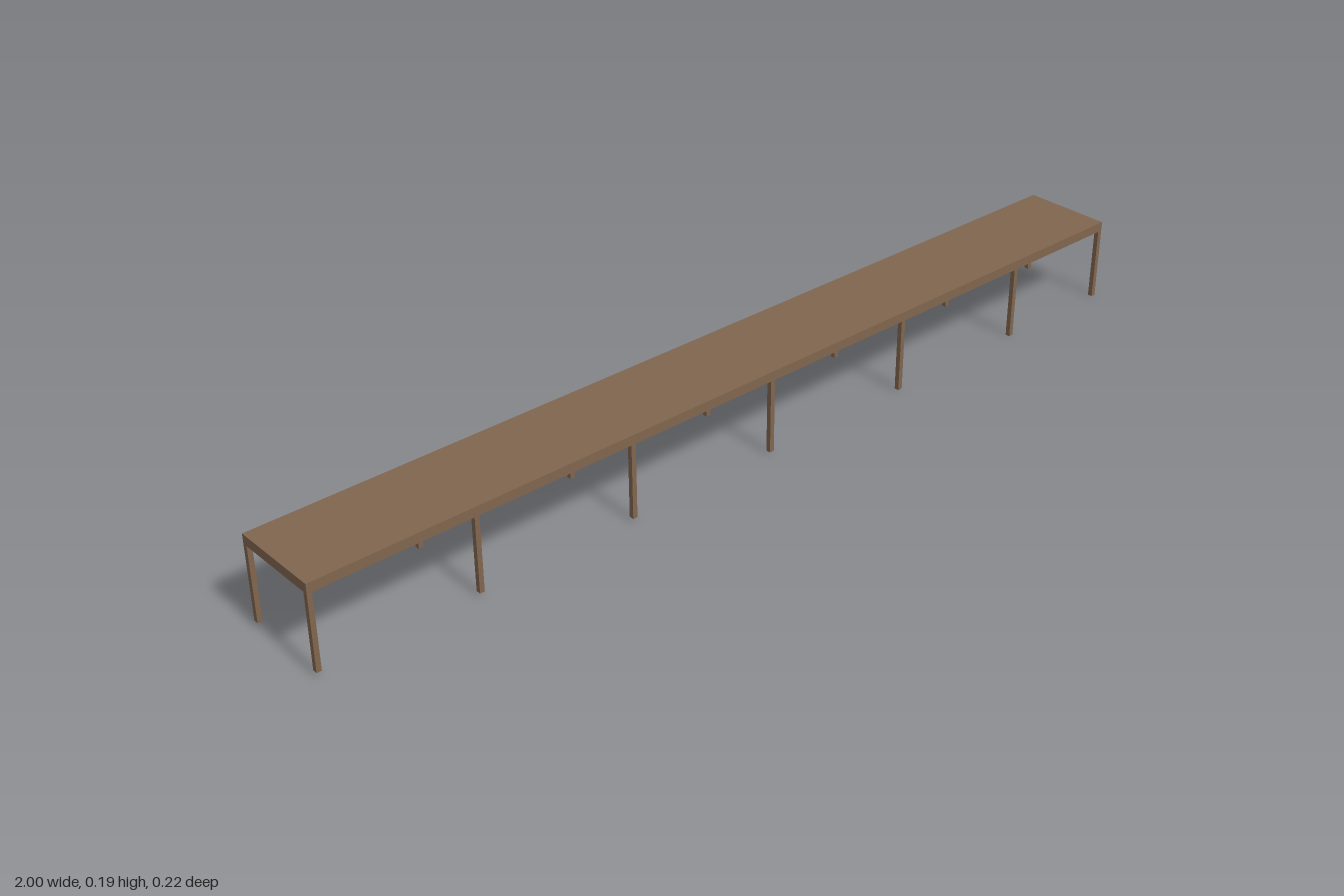
import * as THREE from 'three';

export function createModel() {
  const model = new THREE.Group();
  const wood = new THREE.MeshStandardMaterial({ color: 0x80664f });
  const length = 1.997, width = 0.192, thickness = 0.02, leg = 0.01, legHeight = 0.156;

  // the whole table sits slightly turned and sloping down towards +x
  const table = new THREE.Group();
  table.name = 'table';
  table.position.y = 0.0047;
  table.rotation.set(0, -0.0135, -0.0047);
  model.add(table);

  const addBox = (name, w, h, d, x, y, z) => {
    const mesh = new THREE.Mesh(new THREE.BoxGeometry(w, h, d), wood);
    mesh.name = name;
    mesh.position.set(x, y, z);
    table.add(mesh);
  };

  // long plank top
  addBox('tableTop', length, thickness, width, 0, legHeight + thickness / 2, 0);

  // seven pairs of square legs, flush with the long edges
  const end = length / 2 - leg / 2;
  for (const x of [-end, -0.667, -0.324, 0.018, 0.375, 0.717, end]) {
    for (const side of [-1, 1]) {
      addBox(side > 0 ? 'frontLeg' : 'backLeg', leg, legHeight, leg,
        x, legHeight / 2, side * (width - leg) / 2);
    }
  }
  return model;
}
